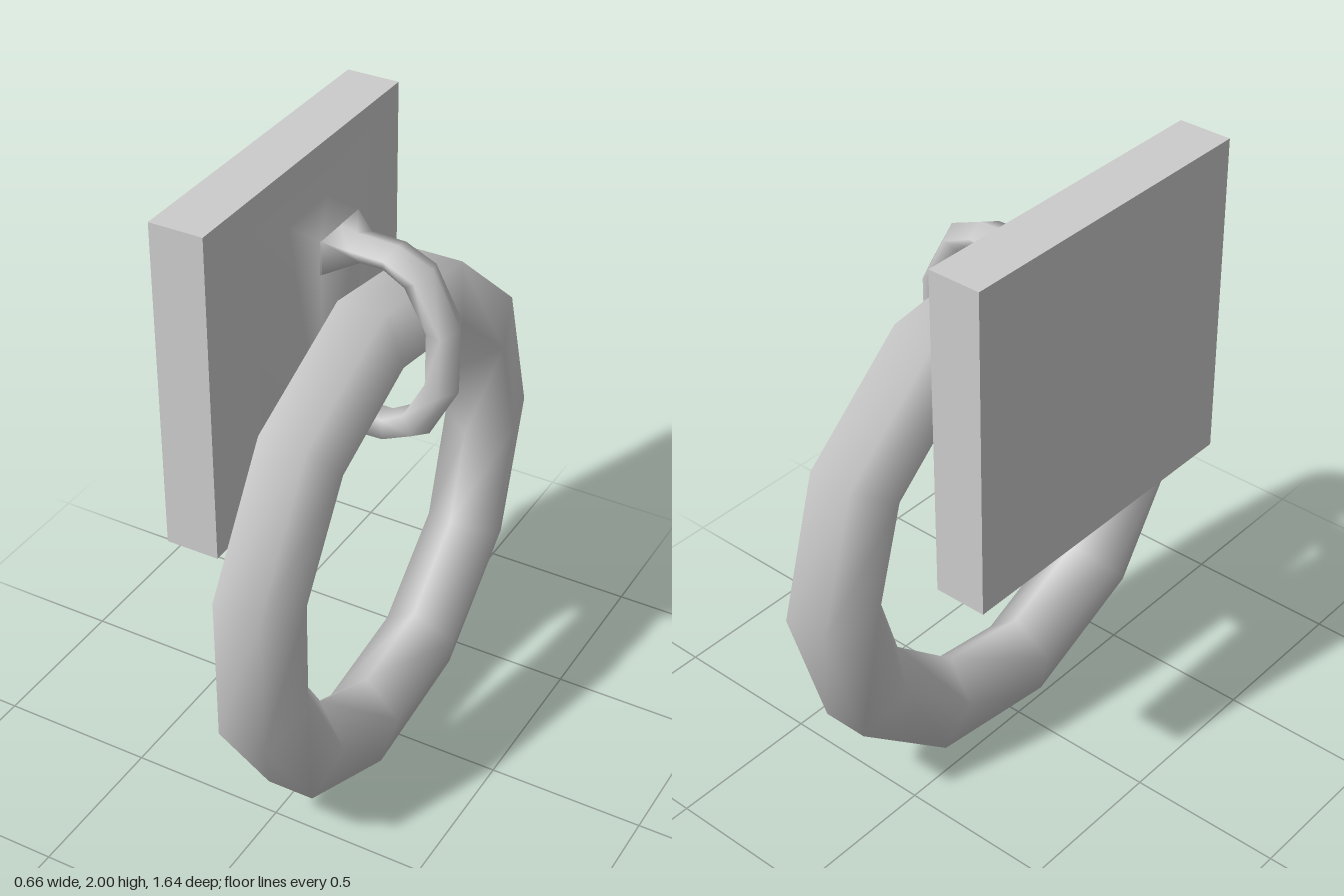
import * as THREE from 'three';
import { mergeVertices } from 'three/addons/utils/BufferGeometryUtils.js';

const material = new THREE.MeshStandardMaterial({ color: 0xcccccc });

// Skin a list of equal-length rings; optional flat caps at either end
function loft(rings, { capStart = false, capEnd = false, flat = false } = {}) {
  const n = rings[0].length, last = (rings.length - 1) * n, index = [];
  for (let i = 0; i < rings.length - 1; i++) {
    for (let j = 0; j < n; j++) {
      const k = (j + 1) % n;
      const a = i * n + j, b = i * n + k, c = b + n, d = a + n;
      index.push(a, b, c, a, c, d);
    }
  }
  for (let j = 1; j < n - 1; j++) {
    if (capStart) index.push(0, j + 1, j);
    if (capEnd) index.push(last, last + j, last + j + 1);
  }
  let geometry = new THREE.BufferGeometry();
  geometry.setAttribute('position', new THREE.Float32BufferAttribute(rings.flat(2), 3));
  geometry.setIndex(index);
  if (flat) geometry = geometry.toNonIndexed();
  geometry.computeVertexNormals();
  return geometry;
}

// Rectangle in a plane of constant x, counter-clockwise seen from +x
const rect = (x, y0, y1, z0, z1) => [[x, y0, z1], [x, y0, z0], [x, y1, z0], [x, y1, z1]];

function part(name, geometry) {
  const mesh = new THREE.Mesh(geometry, material);
  mesh.name = name;
  return mesh;
}

// Eleven-sided ring with a five-sided, slightly oval section
function ringGeometry() {
  const profile = [];
  for (let i = 0; i <= 5; i++) {
    const a = (-36 + i * 72) * Math.PI / 180;
    profile.push(new THREE.Vector2(0.712 + 0.155 * Math.cos(a), 0.128 * Math.sin(a)));
  }
  let geometry = new THREE.LatheGeometry(profile, 11, Math.PI);
  geometry.deleteAttribute('uv');
  geometry.deleteAttribute('normal');
  geometry = mergeVertices(geometry, 1e-4);
  geometry.rotateZ(-Math.PI / 2);
  geometry.translate(0.095, 0.833, 0.017);
  geometry.computeVertexNormals();
  return geometry;
}

// Staple arch: stations give outer and inner points, mirrored top to bottom
function stapleGeometry() {
  const midY = 1.477, midZ = -0.01;
  const upper = [
    { outer: [-0.058, 1.81], inner: [-0.058, 1.70], half: 0.107, foot: true },
    { outer: [0.0, 1.80], inner: [0.03, 1.73], half: 0.066 },
    { outer: [0.13, 1.795], inner: [0.10, 1.73], half: 0.066 },
    { outer: [0.24, 1.75], inner: [0.17, 1.69], half: 0.066 },
    { outer: [0.33, 1.58], inner: [0.24, 1.56], half: 0.066 },
  ];
  const flip = ([x, y]) => [x, 2 * midY - y];
  const lower = upper.map(s => ({ ...s, outer: flip(s.outer), inner: flip(s.inner) })).reverse();
  const round = [[0, 0], [0.35, 1], [1, 0.55], [1, -0.55], [0.35, -1]];
  const square = [[0, 0], [0, 1], [1, 1], [1, -1], [0, -1]];
  return loft([...upper, ...lower].map(s => (s.foot ? square : round).map(([t, w]) => [
    THREE.MathUtils.lerp(s.outer[0], s.inner[0], t),
    THREE.MathUtils.lerp(s.outer[1], s.inner[1], t),
    midZ + w * s.half,
  ])));
}

export function createModel() {
  const group = new THREE.Group();
  group.name = 'wallRing';

  // Square wall plate: sharp back and edges
  const plateFront = rect(-0.16, 0.95, 2, -0.54, 0.52);
  const plateBack = rect(-0.33, 0.95, 2, -0.54, 0.52);
  group.add(part('wallPlate', loft([plateBack, plateFront], { capStart: true, flat: true })));

  // Plate face blending smoothly into the raised block
  group.add(part('plateFaceAndBlock', loft([
    plateFront,
    rect(-0.16, 1.13, 1.825, -0.12, 0.098),
    rect(-0.055, 1.145, 1.81, -0.117, 0.096),
  ], { capEnd: true })));

  group.add(part('staple', stapleGeometry()));
  group.add(part('hangingRing', ringGeometry()));
  return group;
}
